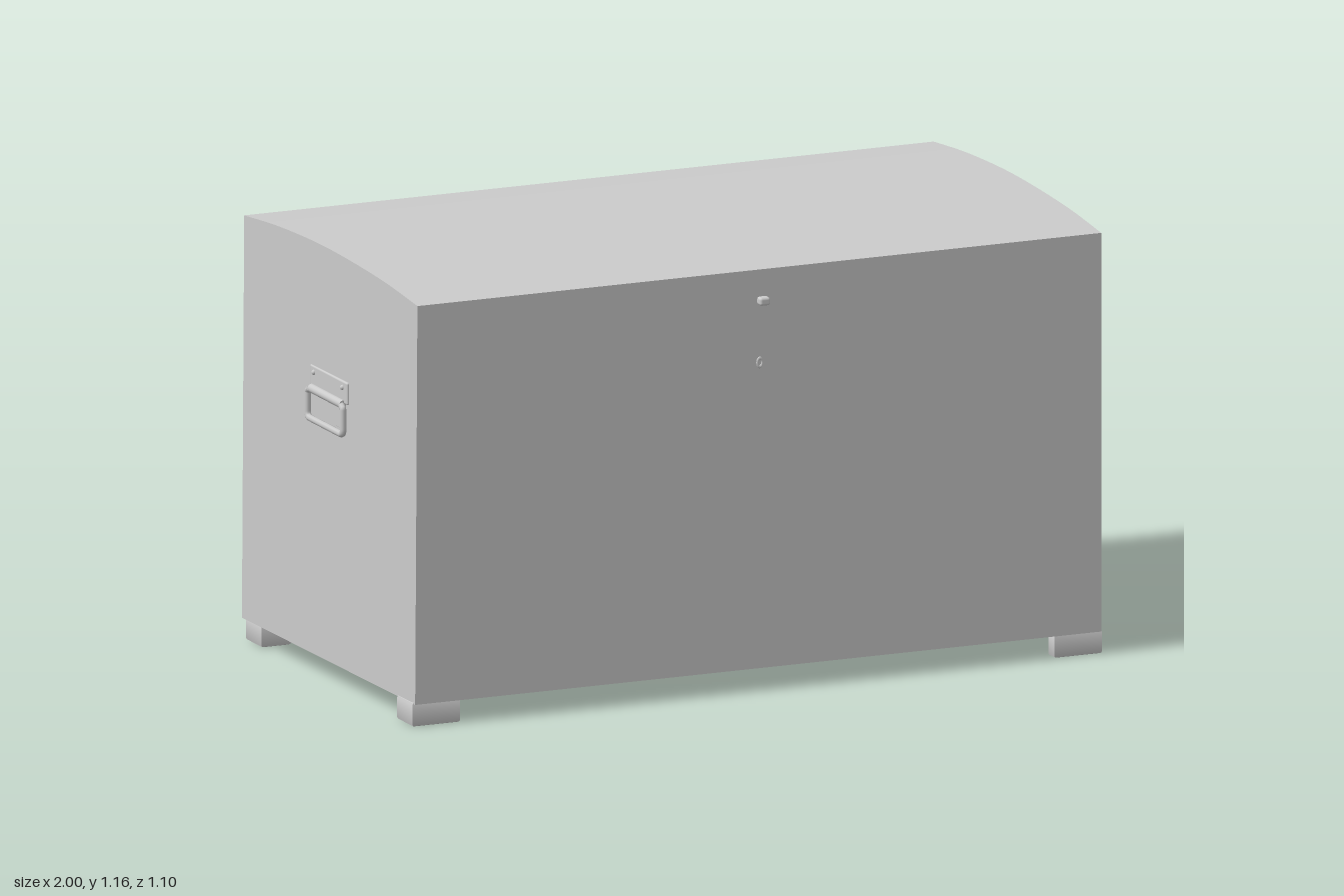
import * as THREE from 'three';
import { toCreasedNormals } from 'three/addons/utils/BufferGeometryUtils.js';
import { RoundedBoxGeometry } from 'three/addons/geometries/RoundedBoxGeometry.js';

const mat = new THREE.MeshStandardMaterial({ color: 0xcccccc });

function add(parent, name, geometry, x = 0, y = 0, z = 0) {
  const mesh = new THREE.Mesh(geometry, mat);
  mesh.name = name;
  mesh.position.set(x, y, z);
  parent.add(mesh);
  return mesh;
}

// Chest with a gently arched lid: side outline (-z, y) extruded along x
function bodyGeometry() {
  const shape = new THREE.Shape();
  shape.moveTo(-0.53, 0.06);
  shape.lineTo(0.525, 0.06);
  shape.lineTo(0.525, 1.132);
  shape.splineThru([[0.3, 1.15], [0.02, 1.157], [-0.3, 1.145], [-0.53, 1.123]]
    .map(([a, y]) => new THREE.Vector2(a, y)));
  shape.closePath();
  const geo = new THREE.ExtrudeGeometry(shape, { depth: 1.953, bevelEnabled: false, curveSegments: 20 });
  geo.rotateY(Math.PI / 2).translate(-0.978, 0, 0);
  // the left end leans out slightly toward the back and the bottom
  const p = geo.attributes.position;
  for (let i = 0; i < p.count; i++) {
    if (p.getX(i) < 0) p.setX(i, -0.98 + 0.008 * p.getZ(i) / 0.53 + 0.006 * (p.getY(i) - 0.6));
  }
  return toCreasedNormals(geo, 0.5);
}

// Corner foot with its inner corner cut off; sx, sz choose the corner
function footGeometry(sx, sz) {
  const w = 0.135, d = 0.098;
  let pts = [[0, 0], [-w, 0], [-w, -d * 0.4], [-w * 0.6, -d], [0, -d]]
    .map(([x, z]) => new THREE.Vector2(x * sx, -z * sz));
  const geo = new THREE.ExtrudeGeometry(new THREE.Shape(pts), {
    depth: 0.052, bevelEnabled: true, bevelSize: 0.006, bevelOffset: -0.006, bevelThickness: 0.006, bevelSegments: 2,
  });
  return toCreasedNormals(geo.rotateX(-Math.PI / 2), 0.6);
}

// Drop handle facing +x, with a mounting plate, a pivot roll and a bail
function makeHandle() {
  const handle = new THREE.Group();
  add(handle, 'handlePlate', new RoundedBoxGeometry(0.012, 0.06, 0.235, 2, 0.005), 0.977, 0.797, 0);
  add(handle, 'handleBacking', new RoundedBoxGeometry(0.006, 0.08, 0.16, 2, 0.002), 0.976, 0.735, 0);
  const roll = add(handle, 'handlePivot', new THREE.CylinderGeometry(0.012, 0.012, 0.2, 14), 0.985, 0.766, 0);
  roll.rotation.x = Math.PI / 2;
  const path = new THREE.CurvePath();
  const v = (y, z) => new THREE.Vector3(0.991, y, z);
  const corners = [[0.766, 0.1], [0.758, 0.112], [0.705, 0.112], [0.688, 0.095],
    [0.688, -0.095], [0.705, -0.112], [0.758, -0.112], [0.766, -0.1]].map(([y, z]) => v(y, z));
  const line = (a, b) => path.add(new THREE.LineCurve3(corners[a], corners[b]));
  line(0, 1);
  line(1, 2);
  path.add(new THREE.QuadraticBezierCurve3(corners[2], v(0.688, 0.112), corners[3]));
  line(3, 4);
  path.add(new THREE.QuadraticBezierCurve3(corners[4], v(0.688, -0.112), corners[5]));
  line(5, 6);
  line(6, 7);
  add(handle, 'handleBail', new THREE.TubeGeometry(path, 90, 0.009, 8, false));
  for (const z of [-0.09, 0.09]) {
    add(handle, 'handleRivet', new THREE.SphereGeometry(0.007, 10, 8), 0.983, 0.81, z);
  }
  return handle;
}

// Strap hinge on the back, with two leaves and a knuckle
function makeHinge(x) {
  const hinge = new THREE.Group();
  hinge.name = 'hinge';
  add(hinge, 'upperLeaf', new RoundedBoxGeometry(0.085, 0.1, 0.012, 2, 0.003), x, 1.026, -0.525);
  add(hinge, 'lowerLeaf', new RoundedBoxGeometry(0.075, 0.105, 0.01, 2, 0.003), x, 0.908, -0.525);
  const knuckle = add(hinge, 'hingeKnuckle', new THREE.CylinderGeometry(0.014, 0.014, 0.085, 14), x, 0.967, -0.536);
  knuckle.rotation.z = Math.PI / 2;
  return hinge;
}

export function createModel() {
  const chest = new THREE.Group();
  chest.name = 'chest';
  add(chest, 'body', bodyGeometry());

  for (const sx of [-1, 1]) {
    for (const sz of [-1, 1]) {
      add(chest, 'foot', footGeometry(sx, sz), sx * 0.98, 0.006, sz * 0.524);
    }
  }

  const leftHandle = makeHandle();
  leftHandle.name = 'leftHandle';
  const rightHandle = makeHandle();
  rightHandle.name = 'rightHandle';
  rightHandle.rotation.y = Math.PI;
  chest.add(leftHandle, rightHandle);

  chest.add(makeHinge(-0.665), makeHinge(0.65));

  // Front knob and keyhole rim
  add(chest, 'frontKnob', new RoundedBoxGeometry(0.03, 0.022, 0.03, 2, 0.007), 0.012, 1.04, 0.535);
  const rim = add(chest, 'keyholeRim', new THREE.TorusGeometry(0.007, 0.003, 6, 16), 0.004, 0.875, 0.53);
  rim.scale.y = 1.6;

  return chest;
}
